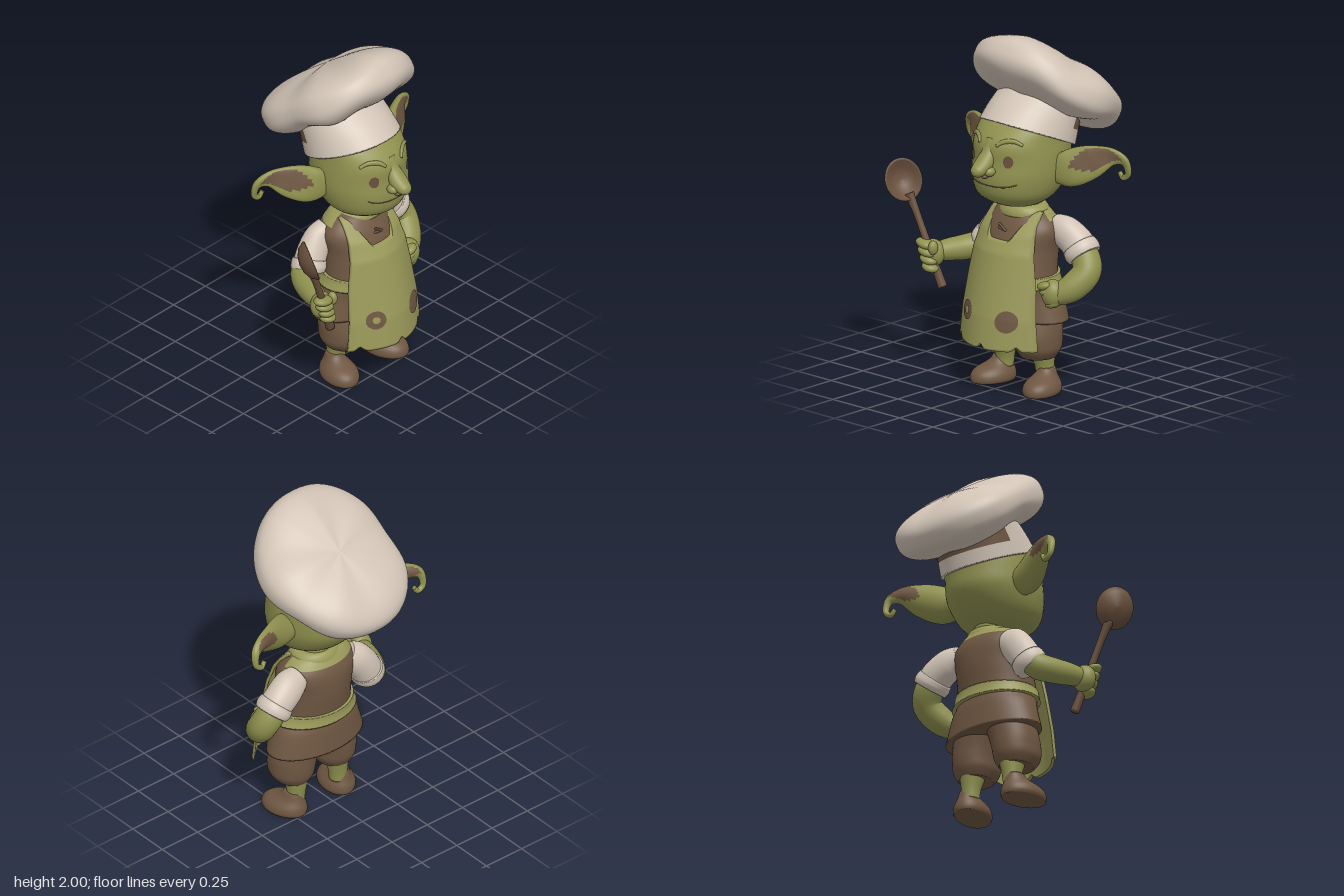
import * as THREE from 'three';

const mat = (name, color) => Object.assign(new THREE.MeshStandardMaterial({ color }), { name });
const skin = mat('skin green', 0x8f914f);
const cloth = mat('apron green', 0x999859);
const cream = mat('cream cloth', 0xd2c4b6);
const brown = mat('brown cloth', 0x6f5742);
const wood = mat('dark wood', 0x69503d);

const CX = 0.055; // middle of the body
const V = (x, y, z) => new THREE.Vector3(x, y, z);

// smooth interpolation through rows of numbers, t from 0 to 1
function sample(rows, t) {
  const n = rows.length - 1, f = Math.min(t * n, n - 1e-6), i = Math.floor(f), k = f - i;
  const at = (j) => rows[Math.max(0, Math.min(n, j))];
  return rows[0].map((_, c) => {
    const [a, b, d, e] = [at(i - 1)[c], at(i)[c], at(i + 1)[c], at(i + 2)[c]];
    return b + 0.5 * k * (d - a + k * (2 * a - 5 * b + 4 * d - e + k * (3 * (b - d) + e - a)));
  });
}

// closed surface from rings; the first and last ring collapse into caps
function surface(nu, nv, ring, paint) {
  const pos = [], faces = [[], []];
  for (let j = 0; j <= nv; j++) {
    const t = Math.max(0, Math.min(1, (j - 1) / (nv - 2)));
    for (let i = 0; i < nu; i++) {
      const p = ring(i / nu, t, j === 0 || j === nv ? 0 : 1);
      pos.push(p.x, p.y, p.z);
      if (j === nv) continue;
      const k = (i + 1) % nu, a = j * nu + i, b = j * nu + k;
      faces[paint && paint((i + 0.5) / nu, t) ? 1 : 0].push(a, b, b + nu, a, b + nu, a + nu);
    }
  }
  const g = new THREE.BufferGeometry();
  g.setAttribute('position', new THREE.Float32BufferAttribute(pos, 3));
  g.setIndex([...faces[0], ...faces[1]]);
  g.addGroup(0, faces[0].length, 0);
  g.addGroup(faces[0].length, faces[1].length, 1);
  g.computeVertexNormals();
  return g;
}

// stacked ellipses: rows of [y, cx, cz, rx, rz]
const stack = (rows, nv = 24, paint) => surface(48, nv, (u, t, k) => {
  const [y, cx, cz, rx, rz] = sample(rows, t), a = u * Math.PI * 2;
  return V(cx + k * rx * Math.sin(a), y, cz + k * rz * Math.cos(a));
}, paint);

// swept ellipses: rows of [x, y, z, width, thickness]; cup bends the edges forward
const sweep = (rows, ref, nv = 30, cup = 0, paint) => surface(32, nv, (u, t, k) => {
  const [x, y, z, w, h] = sample(rows, t), a = u * Math.PI * 2, c = Math.cos(a);
  const p = sample(rows, Math.max(0, t - 0.01)), q = sample(rows, Math.min(1, t + 0.01));
  const T = V(q[0] - p[0], q[1] - p[1], q[2] - p[2]).normalize();
  const S = ref.clone().cross(T).normalize(), B = T.clone().cross(S);
  return V(x, y, z).addScaledVector(S, k * w * c).addScaledVector(B, k * (h * Math.sin(a) + cup * w * c * c));
}, paint);

const HEAD = [[1.045, CX, 0.13, 0.06, 0.06], [1.06, CX, 0.13, 0.135, 0.13], [1.12, CX, 0.13, 0.215, 0.225],
  [1.22, CX, 0.105, 0.252, 0.277], [1.32, CX, 0.093, 0.258, 0.28], [1.43, CX, 0.085, 0.248, 0.28],
  [1.53, CX, 0.07, 0.23, 0.205], [1.6, CX, 0.05, 0.12, 0.12], [1.63, CX, 0.05, 0.03, 0.03]];

// depth of the face at a point
function faceZ(x, y) {
  let lo = 0, hi = 1;
  for (let i = 0; i < 24; i++) {
    const m = (lo + hi) / 2;
    if (sample(HEAD, m)[0] < y) lo = m; else hi = m;
  }
  const [, cx, cz, rx, rz] = sample(HEAD, lo);
  return cz + rz * Math.sqrt(Math.max(0, 1 - ((x - cx) / rx) ** 2));
}

// depth of the apron at a point
const APRON = [[0.28, 0.425], [0.45, 0.405], [0.65, 0.36], [0.8, 0.325], [0.9, 0.272], [1.0, 0.185], [1.04, 0.13]];
function apronZ(x, y) {
  let i = 0;
  while (i < APRON.length - 2 && y > APRON[i + 1][0]) i++;
  const k = (y - APRON[i][0]) / (APRON[i + 1][0] - APRON[i][0]);
  const bend = 1.75 - 0.45 * THREE.MathUtils.smoothstep(y, 0.8, 0.98);
  return APRON[i][1] + k * (APRON[i + 1][1] - APRON[i][1]) - bend * (x - CX) ** 2;
}

// lay a flat plate at (x, y) onto a surface
function plate(geo, x, y, depth) {
  geo.translate(x, y, 0);
  const p = geo.attributes.position;
  for (let i = 0; i < p.count; i++) p.setZ(i, depth(p.getX(i), p.getY(i)) + 0.006);
  geo.computeVertexNormals();
  return geo;
}

// hat puff around its rim, every 30 degrees from the front: [radius, thickness, lift]
const PUFF = [[0.98, 1.08, 0], [0.97, 1, -0.015], [0.95, 0.98, -0.06], [0.97, 1.05, -0.035], [0.93, 0.92, 0],
  [0.97, 1.02, 0], [0.99, 0.95, 0], [1.04, 1.05, 0], [1.03, 1, 0], [0.93, 0.9, 0], [1, 1.08, -0.02],
  [1.03, 0.95, -0.01], [0.98, 1.08, 0]];

export function createModel() {
  const root = new THREE.Group();
  root.name = 'gnomeCook';
  const add = (name, geo, m, parent = root) => {
    const mesh = new THREE.Mesh(geo, m);
    mesh.name = name;
    parent.add(mesh);
    return mesh;
  };
  const blob = (name, m, x, y, z, a, b, c) => {
    const mesh = add(name, new THREE.SphereGeometry(1, 24, 16), m);
    mesh.position.set(x, y, z);
    mesh.scale.set(a, b, c);
    return mesh;
  };
  const X = V(1, 0, 0), Z = V(0, 0, 1);

  // head, nose and mouth
  add('head', stack(HEAD, 40), skin);
  add('neck', stack([[0.95, 0.07, 0.085, 0.11, 0.11], [1.03, 0.07, 0.085, 0.09, 0.1], [1.12, 0.06, 0.09, 0.1, 0.1]], 10), skin);
  add('nose', sweep([[CX, 1.45, 0.325, 0.03, 0.03], [CX, 1.38, 0.352, 0.035, 0.042], [CX, 1.325, 0.39, 0.045, 0.052],
    [CX, 1.296, 0.432, 0.04, 0.046], [CX, 1.288, 0.462, 0.03, 0.034], [CX, 1.286, 0.478, 0.012, 0.014]], X, 24), skin);
  add('mouth', sweep([-0.16, -0.12, -0.05, 0.05, 0.12, 0.17].map((d, i) => {
    const y = [1.222, 1.206, 1.2, 1.197, 1.2, 1.215][i];
    return [CX + d, y, faceZ(CX + d, y) + 0.001, 0.003, 0.003];
  }), Z), brown);
  blob('lowerLip', skin, CX, 1.178, 0.355, 0.08, 0.016, 0.02);

  for (const s of [-1, 1]) {
    const side = s > 0 ? 'left' : 'right', fx = (d) => CX + s * d;
    blob(side + 'NoseWing', skin, fx(0.042), 1.284, 0.392, 0.03, 0.027, 0.034);
    blob(side + 'Nostril', wood, fx(0.025), 1.258, 0.412, 0.02, 0.012, 0.022);
    add(side + 'Eye', plate(new THREE.CircleGeometry(0.03, 24).scale(0.8, 1.15, 1), fx(0.13), 1.343, faceZ), wood);
    add(side + 'Brow', sweep([[0.06, 1.425], [0.09, 1.45], [0.14, 1.455], [0.18, 1.435]].map(([d, y], i) =>
      [fx(d), y, faceZ(fx(d), y), [0.008, 0.013, 0.013, 0.007][i], 0.01]), Z, 16), skin);
    // cupped ear with a curled tip and a lens of brown on both faces
    add(side + 'Ear', sweep([[0.2, 1.27, 0.05, 0.07, 0.06], [0.3, 1.28, 0.02, 0.103, 0.06],
      [0.41, 1.325, -0.03, 0.094, 0.042], [0.51, 1.365, -0.08, 0.052, 0.028], [0.58, 1.345, -0.11, 0.028, 0.021],
      [0.592, 1.275, -0.125, 0.018, 0.016], [0.555, 1.245, -0.125, 0.016, 0.014], [0.53, 1.275, -0.12, 0.013, 0.012]]
      .map(([d, ...r]) => [fx(d), ...r]), Z, 60, 0.22,
    (u, t) => {
      const [mid, half] = u < 0.5 ? [0.345, 0.2] : [0.42, 0.14];
      return Math.abs(s * Math.cos(u * Math.PI * 2) - 0.15) < 0.72 * (1 - ((t - mid) / half) ** 2);
    }), [skin, brown]);
    // shorts leg, shin and shoe
    add(side + 'ShortsLeg', stack([[0.2, fx(0.145), 0.11, 0.09, 0.1], [0.212, fx(0.145), 0.112, 0.1, 0.112],
      [0.25, fx(0.145), 0.115, 0.122, 0.134], [0.3, fx(0.143), 0.115, 0.128, 0.143], [0.36, fx(0.135), 0.11, 0.134, 0.142],
      [0.46, fx(0.11), 0.1, 0.14, 0.14]]), brown);
    add(side + 'Shin', stack([[0.08, fx(0.15), 0.07, 0.05, 0.05], [0.14, fx(0.147), 0.07, 0.053, 0.055],
      [0.23, fx(0.142), 0.08, 0.07, 0.08]], 12), skin);
    const shoe = add(side + 'Shoe', stack([[0, 0, 0.06, 0.09, 0.132], [0.02, 0, 0.06, 0.099, 0.137], [0.05, 0, 0.057, 0.094, 0.131],
      [0.075, 0, 0.047, 0.078, 0.112], [0.095, 0, 0.025, 0.062, 0.083], [0.115, 0, 0.01, 0.052, 0.062],
      [0.135, 0, 0.005, 0.044, 0.05]], 20), brown);
    shoe.position.set(fx(0.168), 0, 0.068);
    shoe.rotation.y = s * 0.25;
  }

  // hat: leaning band and softly lobed puff
  const hat = new THREE.Group();
  hat.name = 'hat';
  hat.position.set(CX, 1.43, 0.05);
  hat.rotation.x = -0.4;
  root.add(hat);
  add('hatBand', stack([[0, 0, 0, 0.262, 0.285], [0.1, 0, -0.015, 0.252, 0.258], [0.2, 0, -0.04, 0.242, 0.225],
    [0.27, 0, -0.06, 0.235, 0.21]], 24, (u, t) => Math.abs(u - 0.5) < 0.2 && t > 0.27), [cream, brown], hat);
  const puff = add('hatPuff', surface(112, 36, (u, t) => {
    const a = u * Math.PI * 2, f = (t - 0.5) * Math.PI, [radius, thick, lift] = sample(PUFF, u);
    const c = Math.max(0, Math.cos(f)) ** 0.7, h = Math.sign(f) * Math.abs(Math.sin(f)) ** 0.8;
    const r = radius * c;
    return V(0.425 * r * Math.sin(a), h * 0.15 * (1 + (thick - 1) * 1.5 * c) + lift * c * c, 0.455 * r * Math.cos(a));
  }), cream);
  puff.position.set(0.1, 1.69, -0.09);
  puff.rotation.x = -0.63;

  // tunic with yoke, collar and apron tie
  add('tunic', stack([[0.415, CX, 0.09, 0.31, 0.18], [0.55, CX, 0.095, 0.27, 0.175], [0.64, CX, 0.12, 0.235, 0.19],
    [0.8, CX, 0.1, 0.225, 0.19], [0.92, CX, 0.08, 0.24, 0.167], [1.0, CX, 0.075, 0.18, 0.125], [1.03, 0.06, 0.075, 0.11, 0.1]],
  48, (u, t) => u > 0.23 && u < 0.77 && t > 0.75), [brown, cloth]);
  add('collar', stack([[0.985, 0.065, 0.08, 0.15, 0.13], [1.01, 0.065, 0.08, 0.145, 0.128], [1.035, 0.067, 0.08, 0.125, 0.115],
    [1.045, 0.067, 0.08, 0.1, 0.1]], 12), cloth);
  add('apronTie', stack([[0.605, CX, 0.11, 0.266, 0.203], [0.64, CX, 0.115, 0.252, 0.203], [0.67, CX, 0.115, 0.245, 0.203]], 10), cloth);
  for (const s of [-1, 1]) {
    const lace = add('lace', new THREE.CapsuleGeometry(0.007, 0.05, 4, 8), wood);
    lace.position.set(0.055, 0.925 - s * 0.006, 0.247);
    lace.rotation.z = 1.2 + s * 0.2;
  }

  // apron: thin curved shell with a scooped bib and notched hem
  add('apron', surface(128, 60, (u, t, k) => {
    const front = u < 0.5, s = front ? u * 4 - 1 : 3 - u * 4;
    const dx = s * (0.282 - 0.035 * Math.min(1, t / 0.45) - 0.075 * Math.max(0, (t - 0.45) / 0.55));
    const hem = 0.28 + [-0.23, 0, 0.2].reduce((h, n) => h + 0.025 * Math.exp(-(((dx - n) / 0.018) ** 2)), 0);
    const top = 0.865 + 0.155 * THREE.MathUtils.smoothstep(Math.abs(dx), 0.065, 0.15);
    const x = CX + dx, y = hem + (top - hem) * t;
    return V(x, y, apronZ(x, y) - (front && k ? 0 : 0.022));
  }), cloth);
  add('ringPatch', plate(new THREE.RingGeometry(0.02, 0.053, 28, 4), -0.09, 0.46, apronZ), brown);
  add('roundPatch', plate(new THREE.RingGeometry(0.001, 0.06, 28, 5), 0.2, 0.445, apronZ), brown);

  // left arm, hand on hip
  add('leftSleeve', sweep([[0.23, 0.93, 0.02, 0.06, 0.07], [0.3, 0.905, 0.01, 0.08, 0.095], [0.37, 0.86, 0, 0.087, 0.097],
    [0.42, 0.815, 0, 0.09, 0.094]], X), cream);
  add('leftCuff', sweep([[0.395, 0.84, 0, 0.095, 0.1], [0.42, 0.813, 0, 0.102, 0.104], [0.438, 0.791, 0, 0.094, 0.096]], X, 10), cream);
  add('leftArm', sweep([[0.38, 0.86, 0, 0.07, 0.07], [0.445, 0.78, 0, 0.08, 0.08], [0.475, 0.705, 0.03, 0.08, 0.08],
    [0.435, 0.63, 0.1, 0.077, 0.077], [0.375, 0.59, 0.16, 0.06, 0.06]], X), skin);
  blob('leftHand', skin, 0.365, 0.6, 0.175, 0.065, 0.08, 0.062);
  for (let i = 0; i < 4; i++)
    blob('leftFinger', skin, 0.335 + i * 0.012, 0.645 - i * 0.033, 0.212 - i * 0.008, 0.045, 0.024, 0.034).rotation.z = 0.3;

  // right arm, raised fist
  add('rightSleeve', sweep([[-0.11, 0.925, 0.02, 0.06, 0.07], [-0.16, 0.885, 0.01, 0.072, 0.09], [-0.217, 0.815, 0.012, 0.08, 0.092],
    [-0.257, 0.745, 0.02, 0.085, 0.092]], X), cream);
  add('rightCuff', sweep([[-0.245, 0.775, 0.015, 0.09, 0.096], [-0.263, 0.74, 0.025, 0.096, 0.1], [-0.275, 0.712, 0.035, 0.086, 0.09]], X, 10), cream);
  add('rightArm', sweep([[-0.25, 0.79, 0.01, 0.065, 0.065], [-0.305, 0.72, 0.03, 0.073, 0.073], [-0.355, 0.7, 0.1, 0.07, 0.07],
    [-0.395, 0.697, 0.19, 0.062, 0.062], [-0.42, 0.695, 0.27, 0.05, 0.05]], X), skin);
  blob('rightHand', skin, -0.43, 0.69, 0.28, 0.068, 0.078, 0.056);
  for (let i = 0; i < 4; i++)
    blob('rightFinger', skin, -0.455 + i * 0.012, 0.745 - i * 0.042, 0.317, 0.062 - i * 0.004, 0.027, 0.044).rotation.z = -0.2;
  blob('rightThumb', skin, -0.39, 0.735, 0.325, 0.025, 0.04, 0.03);

  // wooden spoon
  add('spoonHandle', sweep([[-0.36, 0.51, 0.28, 0.026, 0.026], [-0.43, 0.69, 0.3, 0.022, 0.022], [-0.51, 0.89, 0.318, 0.019, 0.02],
    [-0.565, 1.01, 0.33, 0.03, 0.024]], Z), wood);
  const bowl = add('spoonBowl', new THREE.LatheGeometry([[0.001, -0.062], [0.04, -0.055], [0.075, -0.035], [0.096, 0], [0.094, 0.008],
    [0.083, 0.004], [0.06, -0.025], [0.03, -0.04], [0.001, -0.044]].map(([r, y]) => new THREE.Vector2(r, y)), 32), wood);
  const A = V(-0.35, 0.93, 0).normalize(), N = V(0.8, 0.301, 0.5).normalize();
  bowl.quaternion.setFromRotationMatrix(new THREE.Matrix4().makeBasis(A, N, A.clone().cross(N)));
  bowl.position.set(-0.588, 1.088, 0.35);
  bowl.scale.set(1.26, 1.05, 1.1);

  return root;
}
